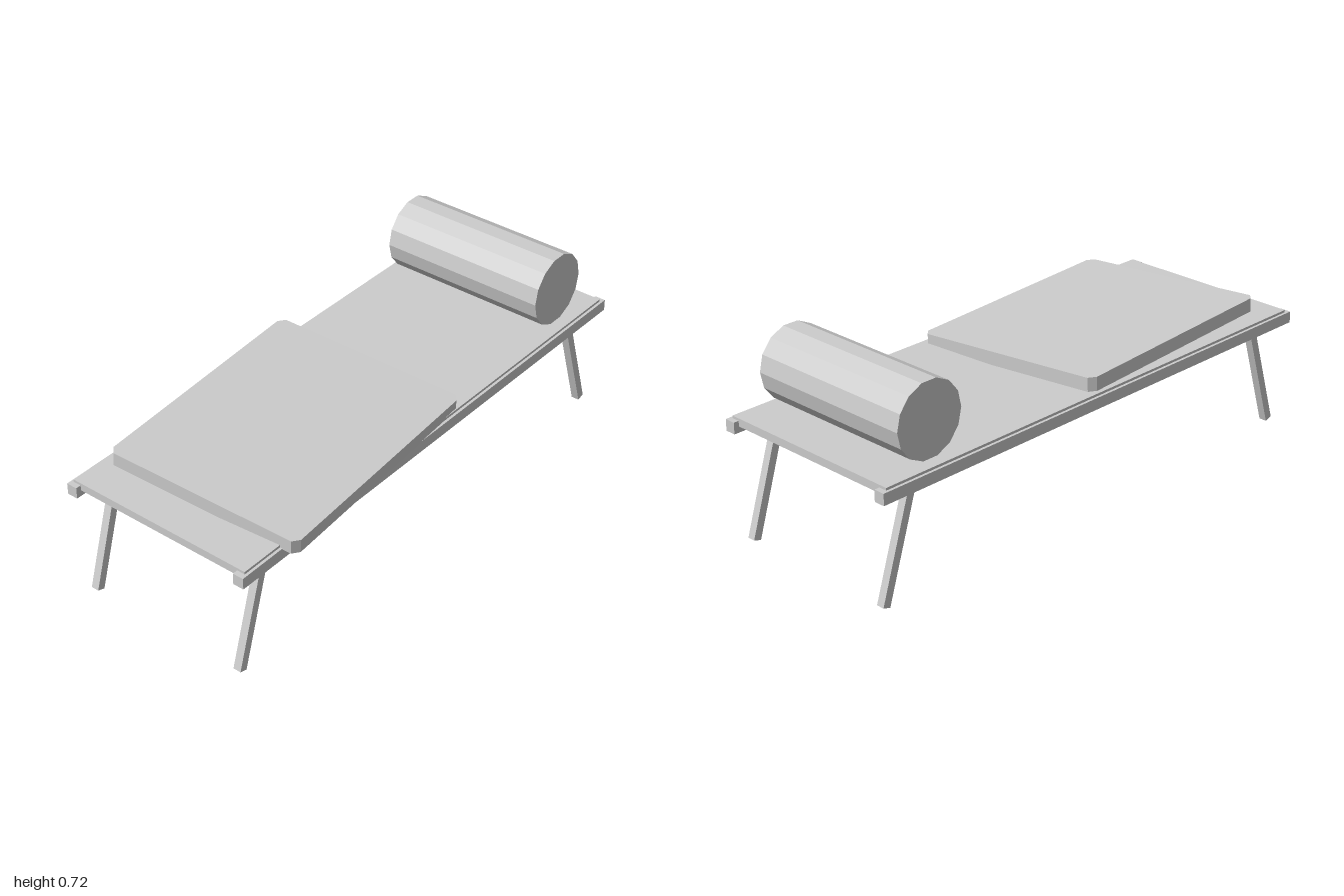
import * as THREE from 'three';

export function createModel() {
  const model = new THREE.Group();
  model.name = 'daybed';
  const grey = new THREE.MeshStandardMaterial({ color: 0xcccccc, flatShading: true });
  grey.name = 'pale grey';

  const add = (name, geometry, x, y, z) => {
    const mesh = new THREE.Mesh(geometry, grey);
    mesh.name = name;
    mesh.position.set(x, y, z);
    model.add(mesh);
    return mesh;
  };

  const midX = -0.022; // the frame sits slightly right of the loose cushion

  // Flat bed deck
  add('deck', new THREE.BoxGeometry(0.735, 0.029, 1.96), midX, 0.4325, 0);

  // Side rails and splayed legs
  const splay = 0.302, legLength = 0.44;
  for (const side of [-1, 1]) {
    const sideName = side > 0 ? 'left' : 'right';
    add(sideName + 'Rail', new THREE.BoxGeometry(0.041, 0.042, 2),
      midX + side * 0.357, 0.417, 0);
    for (const end of [-1, 1]) {
      const leg = add(sideName + (end > 0 ? 'FrontLeg' : 'BackLeg'),
        new THREE.BoxGeometry(0.03, legLength, 0.03),
        midX + side * 0.316,
        0.0045 + Math.cos(splay) * legLength / 2,
        0.003 + end * (0.962 - Math.sin(splay) * legLength / 2));
      leg.rotation.x = -end * splay;
    }
  }

  // Faceted bolster lying across the back end
  const bolster = add('bolster', new THREE.CylinderGeometry(0.136, 0.136, 0.65, 14),
    -0.023, 0.585, -0.756);
  bolster.rotation.z = Math.PI / 2;

  // Loose seat cushion with clipped corners, twisted and tipped to one side
  const w = 0.375, d = 0.4725, a = 0.02, b = 0.025, thick = 0.05;
  const outline = new THREE.Shape([
    [w, d - b], [w - a, d], [a - w, d], [-w, d - b],
    [-w, b - d], [a - w, -d], [w - a, -d], [w, b - d],
  ].map(([x, y]) => new THREE.Vector2(x, y)));
  const slab = new THREE.ExtrudeGeometry(outline, { depth: thick, bevelEnabled: false });
  slab.translate(0, 0, -thick / 2).rotateX(-Math.PI / 2);
  const cushion = add('seatCushion', slab, 0, 0.4755, 0.366);
  cushion.rotation.set(0, 0.073, -0.052);

  return model;
}
